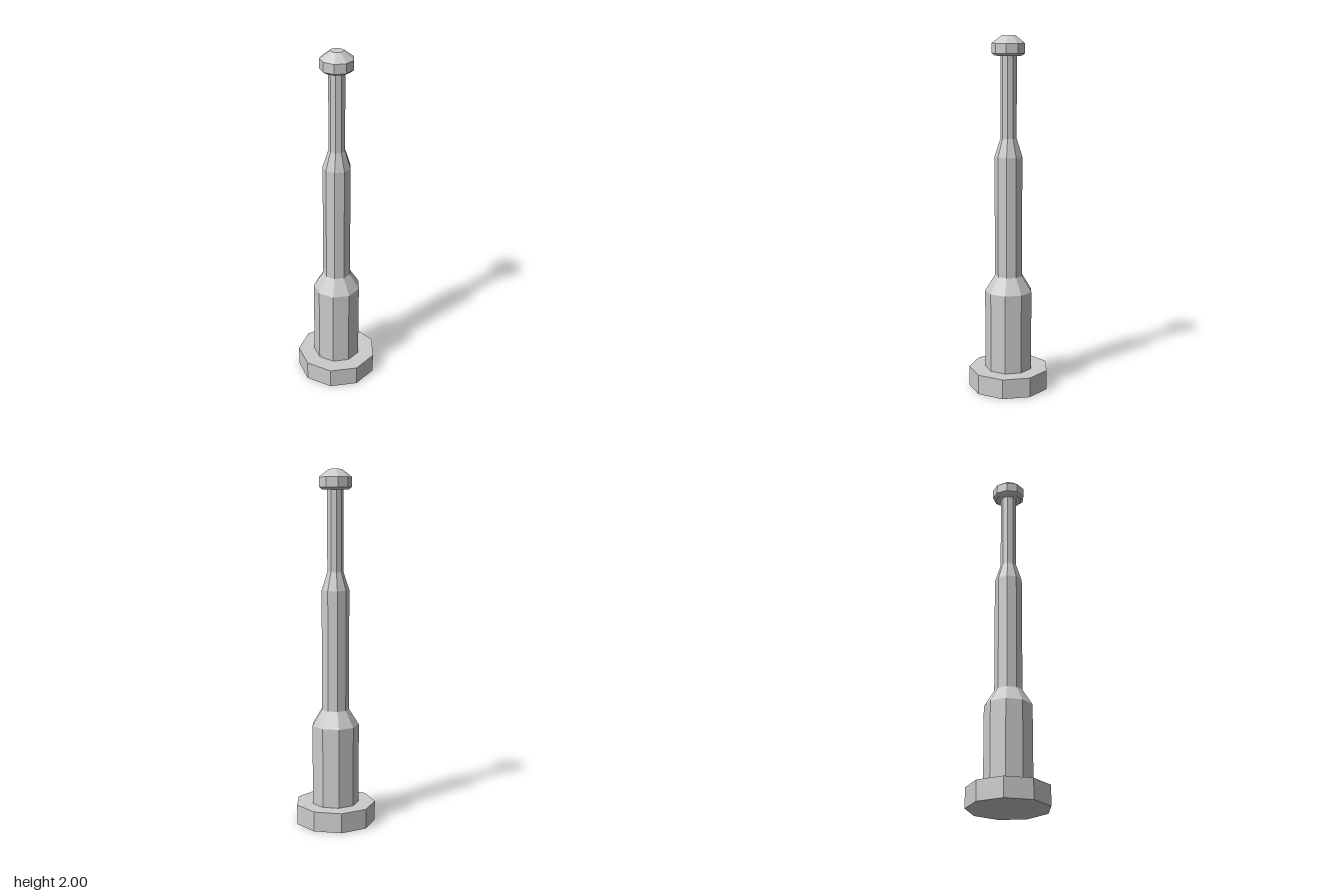
import * as THREE from 'three';

const SIDES = 9;

// Nine-sided turned part from [radius, height] pairs, bottom to top, with a corner towards the back
function turned(name, profile, material) {
  const points = profile.map(([r, y]) => new THREE.Vector2(r, y));
  const mesh = new THREE.Mesh(new THREE.LatheGeometry(points, SIDES, Math.PI), material);
  mesh.name = name;
  return mesh;
}

export function createModel() {
  const model = new THREE.Group();
  model.name = 'steppedPost';
  const material = new THREE.MeshStandardMaterial({ color: 0xcccccc, flatShading: true });

  // Flat foot plate
  const base = turned('base', [[0, 0], [0.229, 0], [0.229, 0.113], [0, 0.113]], material);

  // Shaft narrowing in two sloped steps
  const shaft = turned('shaft', [
    [0.135, 0.113], [0.135, 0.568],
    [0.079, 0.658], [0.079, 1.337],
    [0.046, 1.439], [0.046, 1.895],
  ], material);

  // Knob with a bevelled underside and a sloped top
  const cap = turned('cap', [
    [0, 1.89], [0.076, 1.89], [0.093, 1.903], [0.093, 1.957], [0.037, 2], [0, 2],
  ], material);

  model.add(base, shaft, cap);
  // An odd number of sides is uneven front to back, so shift to centre the bounds
  for (const part of model.children) part.position.z = 0.0068;
  return model;
}
